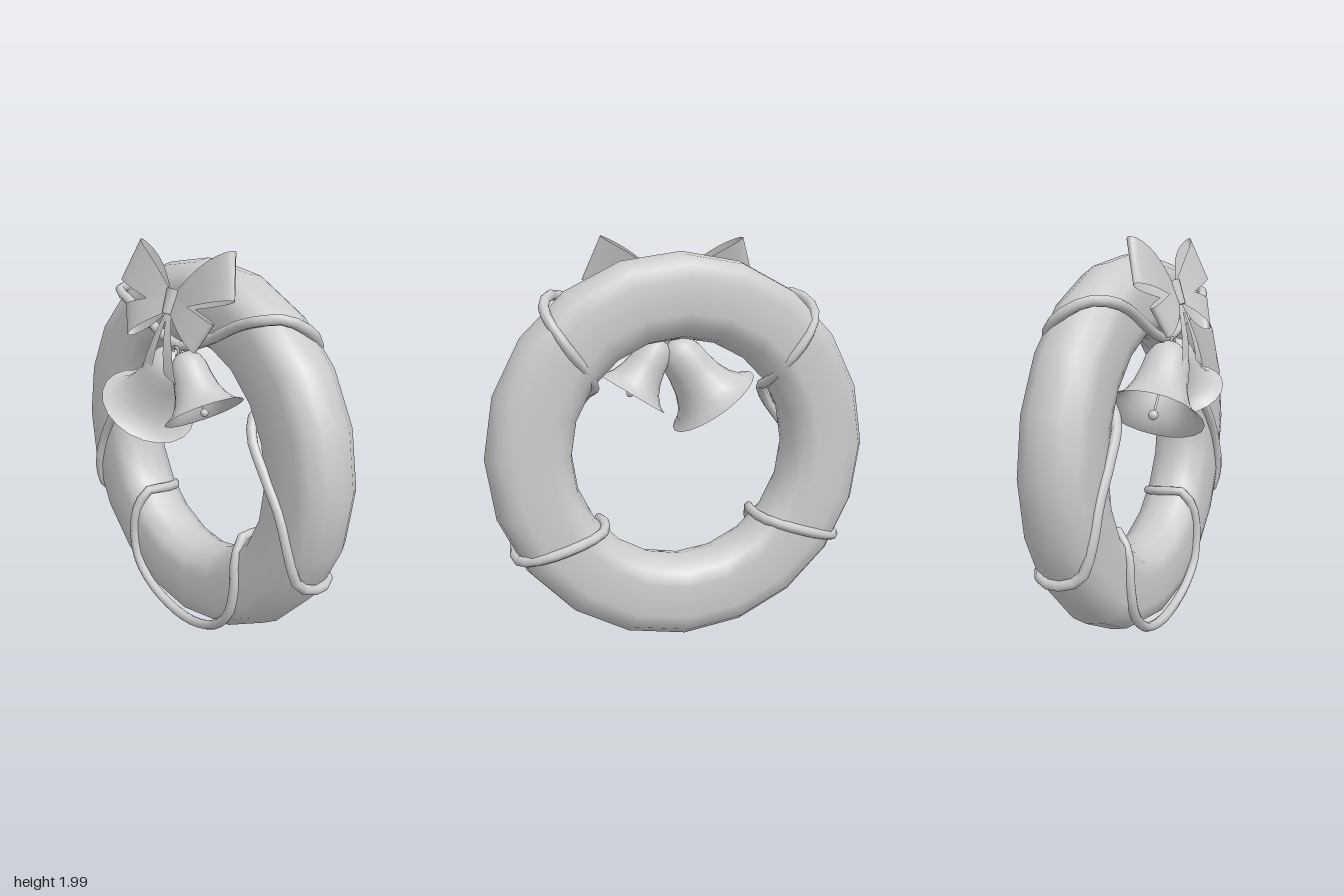
import * as THREE from 'three';
import { mergeVertices, toCreasedNormals } from 'three/addons/utils/BufferGeometryUtils.js';

const solid = new THREE.MeshStandardMaterial({ color: 0xcccccc });
const thin = new THREE.MeshStandardMaterial({ color: 0xcccccc, side: THREE.DoubleSide });

function add(parent, name, geometry, material = solid) {
  const mesh = new THREE.Mesh(geometry, material);
  mesh.name = name;
  parent.add(mesh);
  return mesh;
}

// Surface joining a lower and an upper edge of equal point count
function strip(lower, upper) {
  const index = [];
  const n = lower.length;
  for (let i = 0; i < n - 1; i++) index.push(i, i + 1, n + i, i + 1, n + i + 1, n + i);
  const g = new THREE.BufferGeometry().setFromPoints([...lower, ...upper]);
  g.setIndex(index);
  g.computeVertexNormals();
  return g;
}

// Ring: round section flattened at front and back
function ringGeometry() {
  let g = new THREE.TorusGeometry(0.745, 0.205, 16, 20);
  const p = g.attributes.position;
  for (let i = 0; i < p.count; i++) p.setZ(i, THREE.MathUtils.clamp(p.getZ(i), -0.16, 0.16));
  g.deleteAttribute('uv');
  g.deleteAttribute('normal');
  g = mergeVertices(g, 1e-4);
  g.computeVertexNormals();
  return g;
}

// Cord: one half of the winding, mirrored into a closed path
function cordGeometry() {
  const half = [
    [0, 0.03, 0.01], [0.15, 0.05, 0.01], [0.28, 0.11, 0.02], [0.39, 0.22, 0.03],
    [0.43, 0.36, 0.03], [0.42, 0.52, 0.015], [0.395, 0.62, -0.05], [0.385, 0.615, -0.14],
    [0.42, 0.6, -0.25], [0.52, 0.57, -0.3], [0.68, 0.52, -0.3], [0.79, 0.49, -0.24],
    [0.82, 0.485, -0.14], [0.81, 0.53, -0.03], [0.79, 0.68, 0.02], [0.73, 0.85, 0.025],
    [0.62, 1.02, 0.025], [0.5, 1.17, 0], [0.44, 1.26, -0.07], [0.43, 1.28, -0.16],
    [0.47, 1.36, -0.26], [0.55, 1.46, -0.3], [0.63, 1.58, -0.27], [0.66, 1.66, -0.18],
    [0.62, 1.715, -0.07], [0.55, 1.71, 0.01], [0.42, 1.67, 0.03], [0.25, 1.59, 0.03],
    [0.1, 1.53, 0.03], [0, 1.51, 0.03],
  ].map((p) => new THREE.Vector3(...p));
  const other = half.slice(1, -1).reverse().map((p) => new THREE.Vector3(-p.x, p.y, p.z));
  const path = new THREE.CatmullRomCurve3([...half, ...other], true);
  return new THREE.TubeGeometry(path, 120, 0.025, 8, true);
}

// Bow loop: teardrop band between a lower and an upper edge line
function loopGeometry(side, low, high, depth) {
  const edge = ([x0, y0, x1, y1, bulge]) => {
    const points = [];
    for (let i = 0; i <= 20; i++) {
      const a = (i / 20) * Math.PI * 2;
      const t = (1 - Math.cos(a)) / 2;
      points.push(new THREE.Vector3(
        side * THREE.MathUtils.lerp(x0, x1, t),
        THREE.MathUtils.lerp(y0, y1, t) + bulge * Math.sin(t * Math.PI),
        depth * Math.sin(a) * Math.sqrt(t),
      ));
    }
    return points;
  };
  return strip(edge(low), edge(high));
}

// Bow tail: tapered ribbon falling from the knot
function tailGeometry(side) {
  const inner = [];
  const outer = [];
  for (let i = 0; i <= 6; i++) {
    const t = i / 6;
    const z = 0.1 + 0.065 * Math.sin(t * Math.PI / 2);
    inner.push(new THREE.Vector3(side * (-0.01 + 0.06 * t), 1.69 - 0.29 * t, z));
    outer.push(new THREE.Vector3(side * (0.025 + 0.12 * t), 1.68 - 0.315 * t, z));
  }
  return strip(inner, outer);
}

// Bell with clapper, its origin at the centre of the rim
function makeBell(name) {
  const bell = new THREE.Group();
  bell.name = name;
  const profile = [
    [0.25, 0], [0.205, 0.025], [0.165, 0.075], [0.137, 0.14], [0.12, 0.22],
    [0.112, 0.29], [0.09, 0.345], [0.05, 0.38], [0, 0.39],
  ].map((p) => new THREE.Vector2(...p));
  add(bell, 'bellShell', new THREE.LatheGeometry(profile, 20), thin);
  add(bell, 'clapperRod', new THREE.CylinderGeometry(0.006, 0.006, 0.38, 6)).position.y = 0.19;
  add(bell, 'clapperBall', new THREE.SphereGeometry(0.025, 10, 8));
  add(bell, 'hanger', new THREE.TorusGeometry(0.022, 0.007, 6, 12)).position.y = 0.4;
  return bell;
}

export function createModel() {
  const model = new THREE.Group();
  model.name = 'wreath';

  add(model, 'ring', ringGeometry()).position.set(0, 0.97, -0.14);
  add(model, 'cord', cordGeometry());

  // Bow, leaning back at the top
  const bow = new THREE.Group();
  bow.name = 'bow';
  bow.position.set(0, 1.73, 0.085);
  bow.rotation.x = -0.33;
  model.add(bow);
  for (const side of [1, -1]) {
    const label = side > 0 ? 'left' : 'right';
    add(bow, label + 'UpperLoop',
      loopGeometry(side, [0.02, -0.045, 0.44, 0.06, 0], [0.02, 0.05, 0.36, 0.275, 0.02], 0.045), thin);
    add(bow, label + 'LowerLoop',
      loopGeometry(side, [0.01, -0.05, 0.265, -0.205, 0], [0.02, 0.02, 0.345, -0.06, 0.005], 0.04), thin);
    add(model, label + 'Tail', tailGeometry(side), thin);
  }
  const knot = new THREE.CylinderGeometry(0.04, 0.032, 0.12, 8);
  knot.scale(1, 1, 0.75);
  add(bow, 'knot', toCreasedNormals(knot, 0.9));

  // Two bells spreading from below the bow
  const large = makeBell('rightBell');
  large.position.set(-0.23, 1.165, 0.06);
  large.rotation.z = -0.627;
  const small = makeBell('leftBell');
  small.position.set(0.21, 1.225, 0.045);
  small.rotation.z = 0.557;
  small.scale.setScalar(0.8);
  model.add(large, small);

  return model;
}
